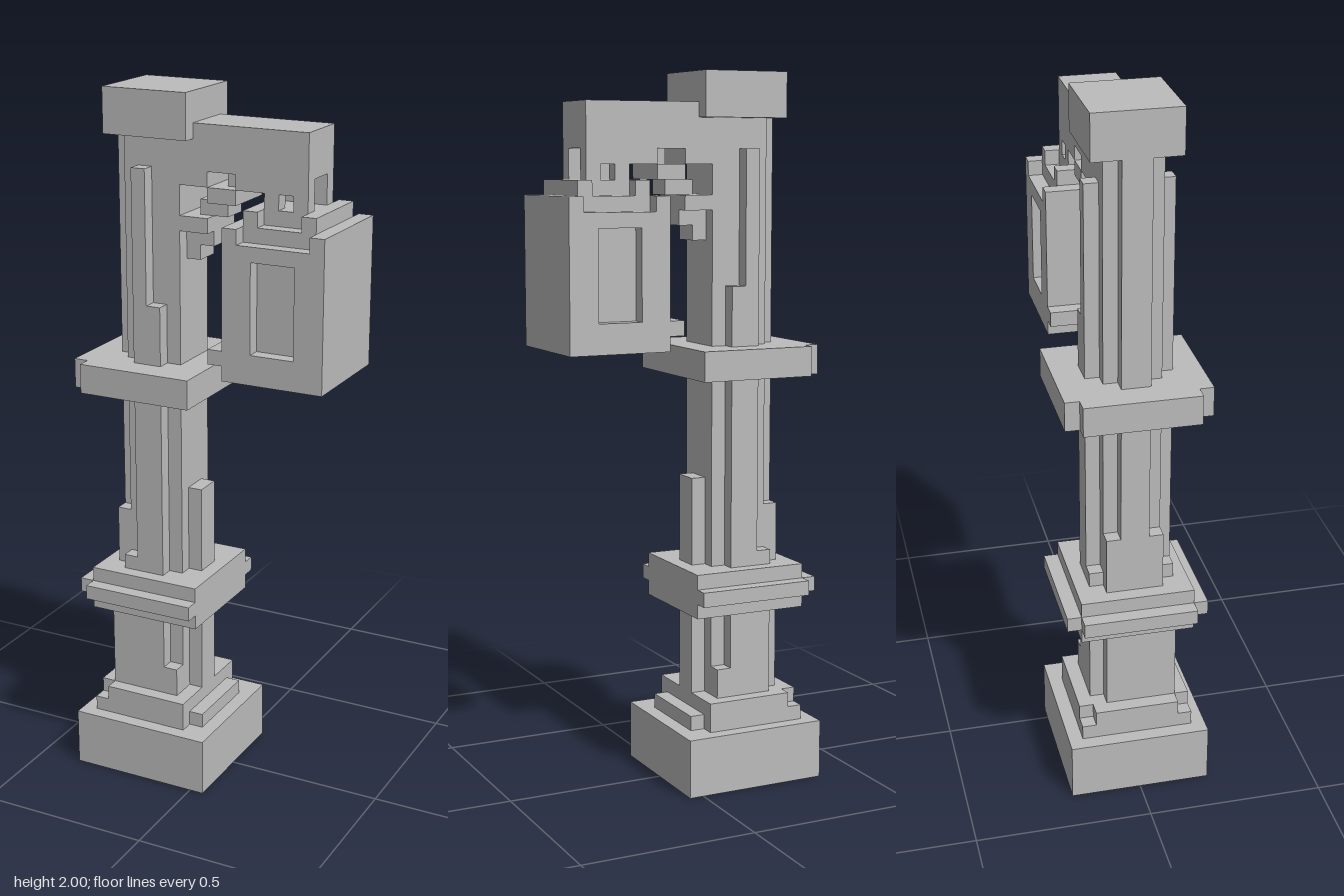
import * as THREE from 'three';

// Grid cell sizes along x, y and z
const UX = 1 / 24, UY = 1 / 24, UZ = 1 / 25;

export function createModel() {
  const model = new THREE.Group();
  model.name = 'lampPost';
  const stone = new THREE.MeshStandardMaterial({ color: 0xbcbcbc });
  stone.name = 'pale grey';

  const part = (name) => {
    const g = new THREE.Group();
    g.name = name;
    model.add(g);
    return g;
  };
  // Box between grid lines
  const box = (parent, name, x0, x1, y0, y1, z0, z1) => {
    const geo = new THREE.BoxGeometry((x1 - x0) * UX, (y1 - y0) * UY, (z1 - z0) * UZ);
    const mesh = new THREE.Mesh(geo, stone);
    mesh.name = name;
    mesh.position.set((x0 + x1) / 2 * UX, (y0 + y1) / 2 * UY, (z0 + z1) / 2 * UZ);
    parent.add(mesh);
  };
  // Box centred on z = 0
  const mid = (parent, name, x0, x1, y0, y1, w) => box(parent, name, x0, x1, y0, y1, -w, w);
  // Box repeated on front and back
  const pair = (parent, name, x0, x1, y0, y1, z0, z1) => {
    box(parent, name, x0, x1, y0, y1, z0, z1);
    box(parent, name, x0, x1, y0, y1, -z1, -z0);
  };

  // Stepped foot
  const base = part('base');
  mid(base, 'plinth', -9, 1, 0, 4, 5);
  mid(base, 'lowerStep', -8, -1, 4, 5, 4);
  mid(base, 'upperStep', -7, -1, 5, 6, 4);
  mid(base, 'leftStepEdge', -8, -7, 5, 6, 3);
  mid(base, 'rightStepEdge', -1, 0, 4, 5, 3);

  // Lower shaft with notched corners
  const lower = part('lowerShaft');
  mid(lower, 'shaftCore', -7, -2, 6, 12, 2);
  box(lower, 'frontFace', -7, -3, 6, 12, 2, 3);
  box(lower, 'backFace', -6, -3, 6, 12, -3, -2);
  pair(lower, 'cornerFoot', -3, -2, 6, 8, 2, 3);
  mid(lower, 'sideRib', -2, -1, 6, 12, 1);

  // Middle collar
  const collar = part('middleCollar');
  mid(collar, 'collarBody', -8, 0, 12, 15, 4);
  mid(collar, 'collarRim', -8, 0, 13, 14, 5);
  mid(collar, 'collarRimEdge', -9, -8, 13, 14, 4);

  // Upper shaft with ribs on each side
  const upper = part('upperShaft');
  mid(upper, 'shaftCore', -6, -2, 15, 45, 2);
  mid(upper, 'sideRib', -7, -6, 15, 45, 1);
  mid(upper, 'sideFoot', -7, -6, 15, 19, 2);
  mid(upper, 'innerRib', -2, -1, 15, 21, 1);
  pair(upper, 'wideRib', -5, -3, 15, 34, 2, 3);
  pair(upper, 'tallRib', -5, -4, 34, 43, 2, 3);
  pair(upper, 'ribFoot', -6, -5, 15, 16, 2, 3);

  // Upper collar
  const ring = part('upperCollar');
  mid(ring, 'collarSlab', -8, 0, 28, 30, 5);
  mid(ring, 'collarEdge', -9, -8, 28, 30, 4);

  // Cap and arm
  mid(model, 'cap', -7, -1, 45, 48, 3);
  const arm = part('arm');
  mid(arm, 'beam', -2, 7, 43, 46, 2);
  pair(arm, 'beamRail', 2, 7, 42, 43, 1, 2);
  mid(arm, 'beamRoot', -2, 0, 42, 43, 2);

  // Stepped diagonal brace: start column, end column, row, half depth
  const brace = part('brace');
  [[-2, -1, 37, 1], [-2, 0, 38, 1], [-2, 0, 39, 2], [-1, 1, 40, 1], [0, 2, 41, 2], [1, 2, 42, 1]]
    .forEach(([a, b, y, w]) => mid(brace, 'braceStep', a, b, y, y + 1, w));

  // Hanging lantern with a recessed window front and back
  const lantern = part('lantern');
  mid(lantern, 'lanternCore', 2, 9, 30, 39, 3);
  pair(lantern, 'windowSill', 2, 9, 30, 32, 3, 4);
  pair(lantern, 'windowHead', 2, 9, 38, 39, 3, 4);
  pair(lantern, 'windowJamb', 2, 4, 32, 38, 3, 4);
  pair(lantern, 'windowJamb', 7, 9, 32, 38, 3, 4);
  mid(lantern, 'lanternLedge', 1, 2, 31, 32, 4);

  // Lantern lid and hangers
  for (const x of [2, 8]) mid(lantern, 'lidEdge', x, x + 1, 39, 40, 4);
  for (const x of [3, 7]) mid(lantern, 'lidRidge', x, x + 1, 39, 41, 3);
  mid(lantern, 'lidStep', 4, 7, 39, 40, 3);
  mid(lantern, 'lidTop', 4, 7, 40, 41, 2);
  for (const x of [4, 6]) pair(lantern, 'hanger', x, x + 1, 41, 42, 1, 2);

  return model;
}
